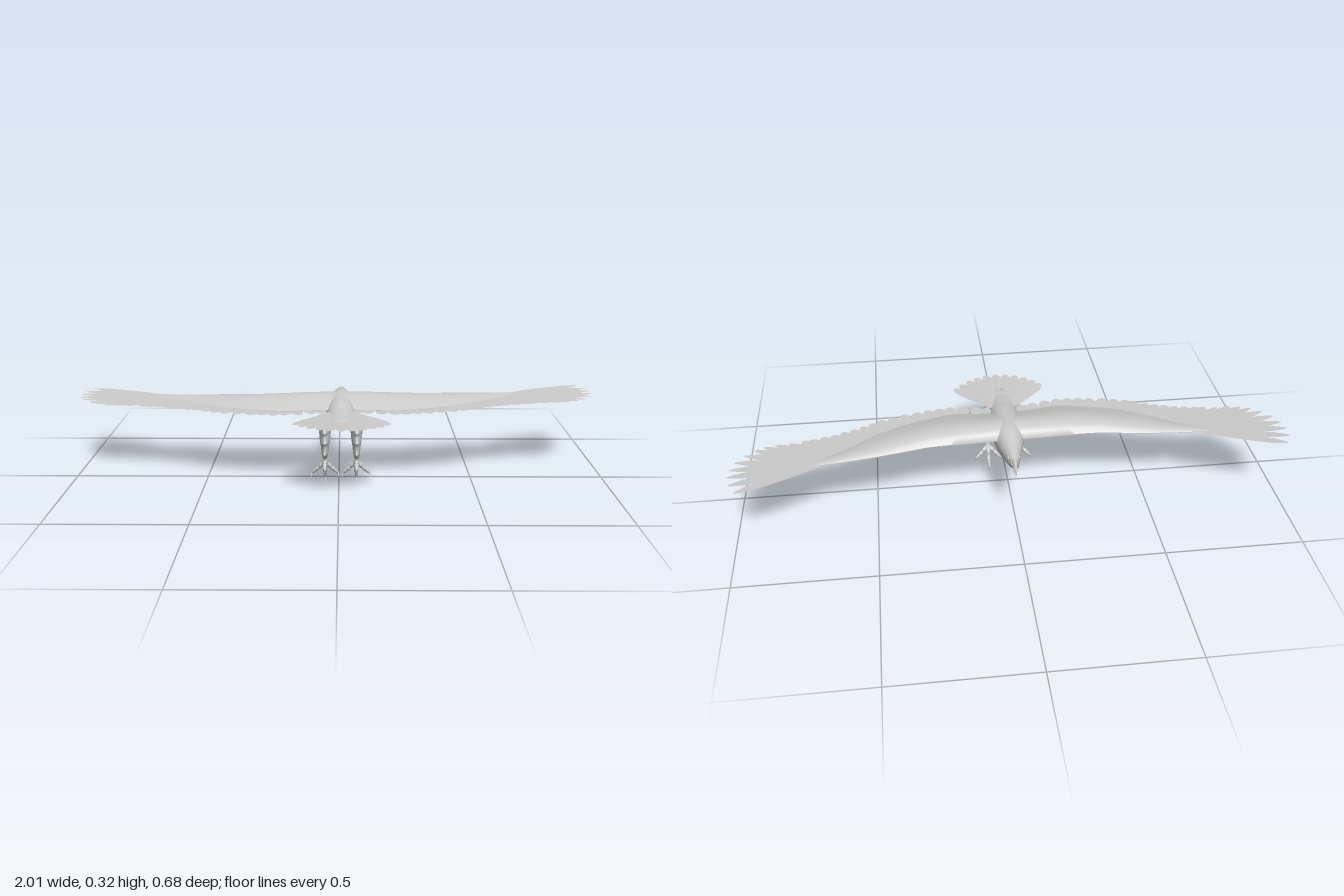
import * as THREE from 'three';
import { toCreasedNormals } from 'three/addons/utils/BufferGeometryUtils.js';

const mat = new THREE.MeshStandardMaterial({ color: 0xcccccc });
const thin = new THREE.MeshStandardMaterial({ color: 0xcccccc, side: THREE.DoubleSide });
const V = (x, y, z) => new THREE.Vector3(x, y, z);
const CX = 0.007; // body axis

function add(parent, name, geometry, material = mat) {
  const mesh = new THREE.Mesh(geometry, material);
  mesh.name = name;
  parent.add(mesh);
  return mesh;
}

// Smoothly resample a table of rows, so a few stations give a fine loft
function smoothRows(rows, n) {
  const columns = rows[0].map((_, c) => new THREE.SplineCurve(rows.map((r, i) => new THREE.Vector2(i, r[c]))));
  return Array.from({ length: n + 1 }, (_, i) => columns.map((s) => s.getPoint(i / n).y));
}

// Skin a list of rings and cap both ends, with faces turned outwards
function loft(rings) {
  const m = rings[0].length, pts = rings.flat(), idx = [];
  const centre = (ring) => ring.reduce((a, p) => a.add(p), V(0, 0, 0)).divideScalar(m);
  for (let i = 0; i < rings.length - 1; i++) {
    for (let j = 0; j < m; j++) {
      const a = i * m + j, b = i * m + ((j + 1) % m);
      idx.push(a, b, a + m, b, b + m, a + m);
    }
  }
  const last = (rings.length - 1) * m, c0 = pts.length;
  pts.push(centre(rings[0]), centre(rings[rings.length - 1]));
  for (let j = 0; j < m; j++) {
    const k = (j + 1) % m;
    idx.push(c0, k, j, c0 + 1, last + j, last + k);
  }
  let volume = 0;
  for (let i = 0; i < idx.length; i += 3) {
    volume += pts[idx[i]].dot(pts[idx[i + 1]].clone().cross(pts[idx[i + 2]]));
  }
  if (volume < 0) idx.reverse();
  const g = new THREE.BufferGeometry().setFromPoints(pts);
  g.setIndex(idx);
  g.computeVertexNormals();
  return g;
}

// Tube along a curve whose radius follows a list of values
function taperTube(points, radii, n = 20, sides = 10) {
  const curve = new THREE.CatmullRomCurve3(points);
  const g = new THREE.TubeGeometry(curve, n, 1, sides);
  const r = smoothRows(radii.map((v) => [v]), n), p = g.attributes.position;
  for (let i = 0; i < p.count; i++) {
    const k = Math.floor(i / (sides + 1)), c = curve.getPointAt(k / n);
    const v = V().fromBufferAttribute(p, i).sub(c).multiplyScalar(Math.max(r[k][0], 0.0004)).add(c);
    p.setXYZ(i, v.x, v.y, v.z);
  }
  g.computeVertexNormals();
  return g;
}

// Flat feather lying from base to tip (x, z), gently rolled so neighbours overlap
function feather(parent, name, base, tip, width, y, point = 0.5) {
  const dx = tip.x - base.x, dz = tip.y - base.y, L = Math.hypot(dx, dz), w = width / 2;
  const s = new THREE.Shape();
  s.moveTo(-w * 0.35, 0);
  s.bezierCurveTo(-w, L * 0.3, -w * 1.1, L * 0.6, -w, L * 0.82);
  s.quadraticCurveTo(-w * point, L, 0, L);
  s.quadraticCurveTo(w * point, L, w, L * 0.82);
  s.bezierCurveTo(w * 1.1, L * 0.6, w, L * 0.3, w * 0.35, 0);
  const g = new THREE.ShapeGeometry(s, 6);
  g.rotateY(0.05);
  g.rotateX(Math.PI / 2);
  g.rotateY(Math.atan2(dx, dz));
  g.translate(base.x, y, base.y);
  add(parent, name, g, thin);
}

function makeBody() {
  const g = new THREE.Group();
  g.name = 'body';
  // z, top, bottom, half width
  const rows = smoothRows([
    [0.225, 0.279, 0.272, 0.03], [0.17, 0.286, 0.24, 0.043], [0.1, 0.295, 0.217, 0.05],
    [0.04, 0.306, 0.202, 0.053], [-0.04, 0.315, 0.19, 0.056], [-0.1, 0.318, 0.192, 0.055],
    [-0.15, 0.31, 0.201, 0.046], [-0.2, 0.3, 0.217, 0.034], [-0.235, 0.295, 0.228, 0.026],
    [-0.255, 0.293, 0.236, 0.019], [-0.268, 0.289, 0.252, 0.013]], 50);
  add(g, 'torsoAndHead', loft(rows.map(([z, top, bot, w]) => {
    const mid = top * 0.55 + bot * 0.45;
    return Array.from({ length: 28 }, (_, j) => {
      const a = (j / 28) * Math.PI * 2, s = Math.sin(a);
      return V(CX + w * Math.cos(a), mid + s * (s > 0 ? top - mid : mid - bot), z);
    });
  })));
  // Open hooked beak
  const upper = taperTube([V(0, 0.273, -0.245), V(0, 0.276, -0.282), V(0, 0.27, -0.304), V(0, 0.26, -0.315), V(0, 0.244, -0.315)],
    [0.017, 0.013, 0.009, 0.005, 0.0005]);
  const lower = taperTube([V(0, 0.244, -0.23), V(0, 0.242, -0.265), V(0, 0.237, -0.288), V(0, 0.23, -0.306)],
    [0.014, 0.009, 0.006, 0.0005]);
  for (const [name, geo] of [['upperBeak', upper], ['lowerBeak', lower]]) {
    geo.scale(0.75, 1, 1);
    add(g, name, geo).position.x = CX;
  }
  for (const s of [-1, 1]) {
    const eye = add(g, 'eye', new THREE.SphereGeometry(0.005, 12, 8));
    eye.position.set(CX + s * 0.019, 0.277, -0.247);
  }
  return g;
}

function makeWing() {
  const g = new THREE.Group();
  g.name = 'wing';
  // x, leading z, trailing z, arch height
  const rows = smoothRows([
    [0, -0.135, 0.05, 0.036], [0.1, -0.14, 0.05, 0.035], [0.2, -0.143, 0.058, 0.032], [0.3, -0.15, 0.035, 0.027],
    [0.4, -0.17, 0.0, 0.021], [0.5, -0.19, -0.055, 0.014], [0.6, -0.205, -0.13, 0.008], [0.68, -0.215, -0.175, 0.003],
    [0.72, -0.225, -0.205, 0.001]], 40);
  const arm = loft(rows.map(([x, lead, trail, h]) => {
    const ring = [], n = 14;
    for (let j = 0; j <= n; j++) {
      const t = j / n;
      ring.push(V(x, 0.2785 + h * Math.sin(Math.PI * Math.pow(t, 0.65)), lead + (trail - lead) * t));
    }
    for (let j = n; j >= 0; j--) ring.push(V(x, 0.276, lead + ((trail - lead) * j) / n));
    return ring;
  }));
  add(g, 'wingArm', toCreasedNormals(arm, 0.7));

  const path = (list) => new THREE.SplineCurve(list.map(([x, z]) => new THREE.Vector2(x, z)));
  // Feather rows: name, base path, tip path, count, width, tip shape
  const sets = [
    ['secondaryFeather',
      path([[0.07, -0.02], [0.2, -0.02], [0.3, -0.03], [0.4, -0.07], [0.48, -0.11], [0.56, -0.15], [0.62, -0.18]]),
      path([[0.075, 0.09], [0.2, 0.11], [0.32, 0.095], [0.45, 0.06], [0.55, 0.01], [0.65, -0.03], [0.75, -0.055]]), 18, 0.046, 0.6],
    ['primaryFeather',
      path([[0.63, -0.185], [0.66, -0.195], [0.68, -0.205], [0.68, -0.215]]),
      path([[0.797, -0.064], [0.86, -0.07], [0.904, -0.086], [0.947, -0.118], [0.984, -0.17], [0.997, -0.225], [0.995, -0.283], [0.965, -0.342]]), 10, 0.036, 0.3],
  ];
  for (const [name, bases, tips, count, width, point] of sets) {
    for (let i = 0; i < count; i++) {
      const t = i / (count - 1), b = bases.getPoint(t), e = tips.getPoint(t);
      feather(g, name, b, e, width, 0.2765 + (i % 2) * 0.0008, point);
      feather(g, name + 'Covert', b, b.clone().lerp(e, 0.58), width * 0.8, 0.2785 + (i % 2) * 0.0006, 0.7);
    }
  }
  return g;
}

function makeTail() {
  const g = new THREE.Group();
  g.name = 'tail';
  const n = 11, root = new THREE.Vector2(CX + 0.003, 0.06);
  for (let i = 0; i < n; i++) {
    const k = (i / (n - 1)) * 2 - 1, a = k * 0.74, L = 0.274 - 0.022 * k * k;
    const at = (r) => new THREE.Vector2(root.x + Math.sin(a) * r, root.y + Math.cos(a) * r);
    const lift = 0.002 * (1 - Math.abs(k));
    feather(g, 'tailFeather', at(0.02), at(L), 0.046, 0.2765 + lift, 0.65);
    feather(g, 'tailCovert', at(0), at(0.13), 0.03, 0.281 + lift * 2, 0.7);
  }
  return g;
}

function makeLeg() {
  const g = new THREE.Group();
  g.name = 'leg';
  // Feathered thigh with ragged back edge: y, front z, back z, half width
  const rows = [
    [0.273, 0.08, 0.115, 0.008], [0.262, 0.057, 0.15, 0.017], [0.245, 0.046, 0.162, 0.023], [0.225, 0.044, 0.177, 0.025],
    [0.217, 0.047, 0.178, 0.025], [0.205, 0.056, 0.164, 0.024], [0.188, 0.069, 0.185, 0.022], [0.182, 0.073, 0.182, 0.021],
    [0.165, 0.085, 0.164, 0.018], [0.145, 0.097, 0.181, 0.015], [0.137, 0.101, 0.18, 0.014], [0.125, 0.106, 0.152, 0.012],
    [0.116, 0.11, 0.146, 0.008]];
  add(g, 'thigh', loft(rows.map(([y, front, back, w]) => Array.from({ length: 20 }, (_, j) => {
    const a = (j / 20) * Math.PI * 2, t = (1 - Math.cos(a)) / 2;
    return V(w * Math.sin(a) * (1.15 - 0.6 * t), y, front + (back - front) * t);
  }))));
  add(g, 'shank', taperTube([V(0, 0.15, 0.122), V(0, 0.115, 0.118), V(0, 0.085, 0.115)], [0.011, 0.009, 0.011]));
  // Toes: each is a path of joints, the last two forming the claw
  const toes = [
    [V(0, 0.092, 0.115), V(0, 0.083, 0.096), V(0, 0.06, 0.083), V(0, 0.04, 0.067), V(0, 0.018, 0.06), V(0, 0.001, 0.073)],
    [V(0, 0.09, 0.115), V(0, 0.099, 0.135), V(0, 0.096, 0.148), V(0, 0.092, 0.16), V(0, 0.085, 0.172), V(0, 0.071, 0.172)],
    ...[-1, 1].map((s) => [V(0, 0.09, 0.115), V(s * 0.012, 0.083, 0.103), V(s * 0.025, 0.07, 0.098),
      V(s * 0.038, 0.057, 0.093), V(s * 0.049, 0.046, 0.09), V(s * 0.052, 0.032, 0.1)])];
  for (const p of toes) {
    add(g, 'toe', taperTube(p.slice(0, 4), [0.01, 0.0075, 0.009, 0.0065, 0.008, 0.005], 24));
    add(g, 'claw', taperTube(p.slice(3), [0.0065, 0.004, 0.0005], 14));
    add(g, 'knuckle', new THREE.SphereGeometry(0.0072, 10, 8)).position.copy(p[3]);
  }
  return g;
}

export function createModel() {
  const model = new THREE.Group();
  model.name = 'flyingEagle';
  model.add(makeBody(), makeTail());

  const leftWing = makeWing(), rightWing = makeWing();
  leftWing.name = 'leftWing';
  rightWing.name = 'rightWing';
  rightWing.scale.x = -1;
  rightWing.rotation.y = 0.07; // this wing sweeps slightly further back
  model.add(leftWing, rightWing);

  for (const s of [-1, 1]) {
    const leg = makeLeg();
    leg.name = s > 0 ? 'leftLeg' : 'rightLeg';
    leg.position.x = CX + s * 0.058;
    leg.scale.x = s;
    model.add(leg);
  }
  return model;
}
